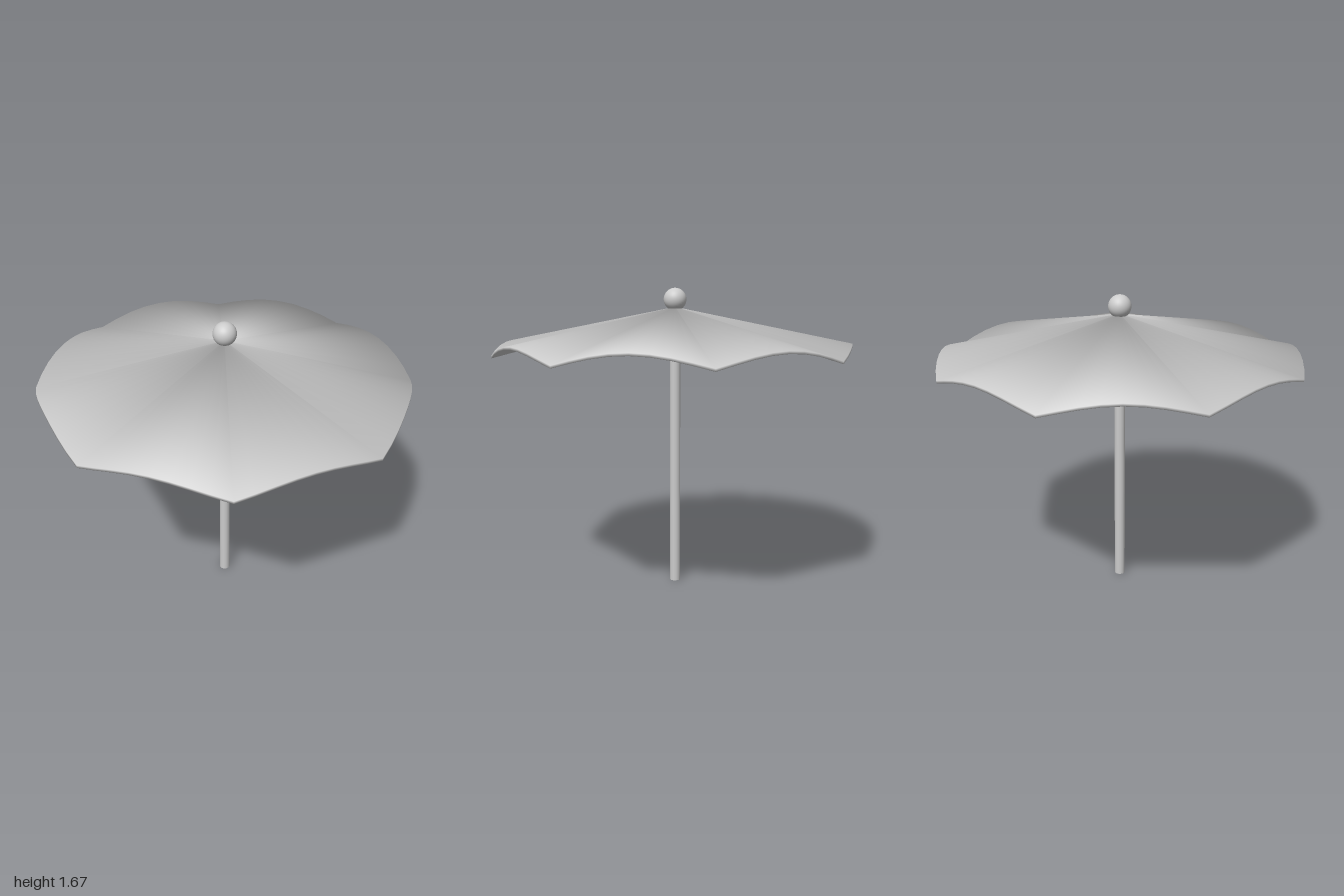
import * as THREE from 'three';

const PANELS = 8, STEPS = 8, THICK = 0.014;

// Smooth normals that weigh every face equally, so the thin hems look rounded
function softenNormals(geo) {
  const pos = geo.attributes.position, idx = geo.index.array;
  const sums = Array.from({ length: pos.count }, () => new THREE.Vector3());
  const tri = new THREE.Triangle(), n = new THREE.Vector3();
  for (let i = 0; i < idx.length; i += 3) {
    tri.setFromAttributeAndIndices(pos, idx[i], idx[i + 1], idx[i + 2]);
    tri.getNormal(n);
    for (let k = 0; k < 3; k++) sums[idx[i + k]].add(n);
  }
  const normals = sums.flatMap((s) => s.normalize().toArray());
  geo.setAttribute('normal', new THREE.Float32BufferAttribute(normals, 3));
}

// Closed shell swept around the pole; each panel arches up between its ribs
function canopyGeometry() {
  const slices = PANELS * STEPS, points = [], index = [];
  for (let i = 0; i < slices; i++) {
    const angle = (i / slices) * Math.PI * 2;
    const arch = Math.sin(((i % STEPS) / STEPS) * Math.PI);
    const rim = 1 - 0.035 * arch;
    const rimY = 1.3 + 0.066 * arch;
    const hub = 0.025, hubY = 1.552;
    const section = [[rim, rimY + THICK], [rim, rimY], [hub, hubY], [hub, hubY + THICK]];
    section.forEach(([r, y], j) => {
      points.push(r * Math.cos(angle), y, r * Math.sin(angle));
      const i2 = (i + 1) % slices, j2 = (j + 1) % 4;
      const a = i * 4 + j, b = i * 4 + j2, c = i2 * 4 + j, d = i2 * 4 + j2;
      index.push(a, c, b, b, c, d);
    });
  }
  const geo = new THREE.BufferGeometry();
  geo.setAttribute('position', new THREE.Float32BufferAttribute(points, 3));
  geo.setIndex(index);
  softenNormals(geo);
  return geo;
}

export function createModel() {
  const group = new THREE.Group();
  group.name = 'parasol';
  const grey = new THREE.MeshStandardMaterial({ color: 0xcccccc });
  grey.name = 'light grey';

  const add = (name, geo, y) => {
    const mesh = new THREE.Mesh(geo, grey);
    mesh.name = name;
    mesh.position.y = y;
    group.add(mesh);
  };

  add('canopy', canopyGeometry(), 0);
  add('pole', new THREE.CylinderGeometry(0.03, 0.03, 1.58, 12), 0.79);
  add('finial', new THREE.SphereGeometry(0.063, 32, 20), 1.612);
  return group;
}
